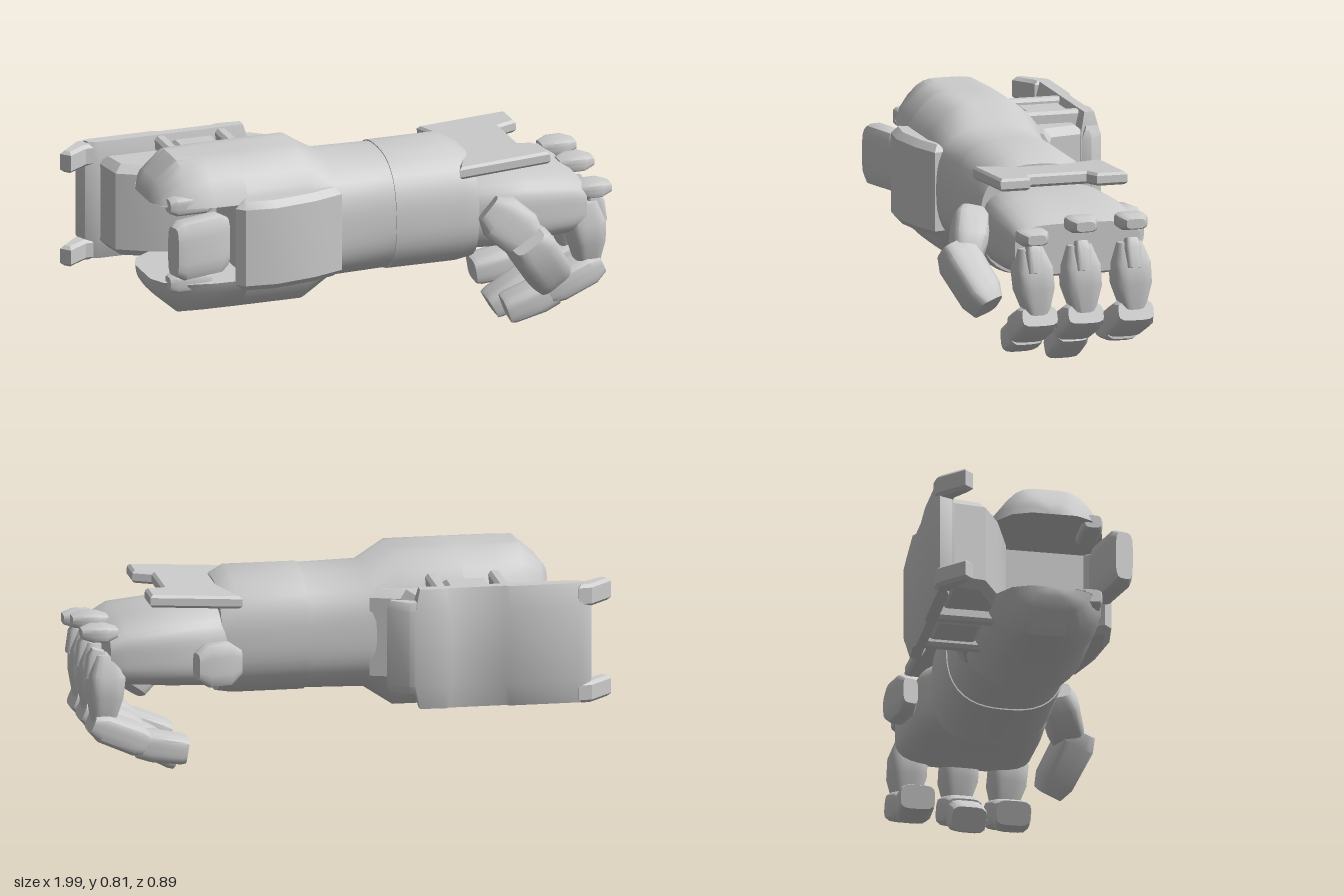
import * as THREE from 'three';
import { toCreasedNormals } from 'three/addons/utils/BufferGeometryUtils.js';

const material = new THREE.MeshStandardMaterial({ color: 0xcccccc });

function add(parent, name, geometry, crease = 0.7) {
  const mesh = new THREE.Mesh(toCreasedNormals(geometry, crease), material);
  mesh.name = name;
  parent.add(mesh);
  return mesh;
}

// Superellipse rings along x; each section is [x, yMin, yMax, zMin, zMax, exponent]
function loft(sections, sides = 32) {
  const pos = [], index = [];
  for (const [x, y0, y1, z0, z1, n = 2.6] of sections) {
    for (let j = 0; j < sides; j++) {
      const t = ((j + 0.5) / sides) * Math.PI * 2;
      const c = Math.cos(t), s = Math.sin(t);
      const r = Math.pow(Math.abs(c) ** n + Math.abs(s) ** n, -1 / n);
      pos.push(x, (y0 + y1) / 2 + (r * c * (y1 - y0)) / 2, (z0 + z1) / 2 + (r * s * (z1 - z0)) / 2);
    }
  }
  const last = (sections.length - 1) * sides;
  for (let j = 0; j < sides; j++) {
    const k = (j + 1) % sides;
    for (let i = 0; i < last; i += sides) {
      index.push(i + j, i + k, i + sides + j, i + sides + j, i + k, i + sides + k);
    }
  }
  // End caps
  for (const [base, s, flip] of [[0, sections[0], true], [last, sections.at(-1), false]]) {
    const centre = pos.length / 3;
    pos.push(s[0], (s[1] + s[2]) / 2, (s[3] + s[4]) / 2);
    for (let j = 0; j < sides; j++) {
      const k = (j + 1) % sides;
      index.push(centre, base + (flip ? k : j), base + (flip ? j : k));
    }
  }
  const g = new THREE.BufferGeometry();
  g.setAttribute('position', new THREE.Float32BufferAttribute(pos, 3));
  g.setIndex(index);
  return g;
}

// Narrow the elbow towards its flat top and bottom, fading out at the tube,
// and flatten whatever lies outside the given height range
function shapeElbow(g, yMin, yMax) {
  const p = g.attributes.position;
  for (let i = 0; i < p.count; i++) {
    const rise = THREE.MathUtils.clamp((Math.abs(p.getY(i) - 0.51) - 0.17) / 0.13, 0, 1);
    const fade = THREE.MathUtils.clamp((-0.11 - p.getX(i)) / 0.11, 0, 1);
    p.setZ(i, 0.02 + (p.getZ(i) - 0.02) * (1 - 0.32 * rise * fade));
    p.setY(i, THREE.MathUtils.clamp(p.getY(i), yMin, yMax));
  }
  return g;
}

// Chamfered segment between two points; rings are [fraction, halfThickness, halfWidth]
function limb(parent, name, from, to, rings, across = [0, 0, 1]) {
  const a = new THREE.Vector3(...from), x = new THREE.Vector3(...to).sub(a);
  const length = x.length();
  x.normalize();
  const y = new THREE.Vector3(...across).cross(x).normalize();
  const z = new THREE.Vector3().crossVectors(x, y);
  const g = loft(rings.map(([t, h, w]) => [t * length, -h, h, -w, w, 4.5]), 24);
  g.applyMatrix4(new THREE.Matrix4().makeBasis(x, y, z).setPosition(a));
  return add(parent, name, g);
}

// Plan outline of [x, z] points raised from y0 to y1, bevelled by bevel over the height rise
function slab(parent, name, outline, y0, y1, bevel = 0.012, rise = bevel) {
  const shape = new THREE.Shape(outline.map(([x, z]) => new THREE.Vector2(x, -z)));
  const g = new THREE.ExtrudeGeometry(shape, {
    depth: y1 - y0 - 2 * rise, bevelEnabled: true, bevelThickness: rise,
    bevelSize: bevel, bevelOffset: -bevel, bevelSegments: 1,
  });
  g.rotateX(-Math.PI / 2).translate(0, y0 + rise, 0);
  return add(parent, name, g, 0.6);
}

const rect = (x0, x1, z0, z1) => [[x0, z0], [x1, z0], [x1, z1], [x0, z1]];

export function createModel() {
  const model = new THREE.Group();
  model.name = 'mechanicalForearm';

  // Forearm: wide behind, slimmer tube towards the wrist
  add(model, 'forearm', shapeElbow(loft([
    [-0.47, 0.21, 0.81, -0.21, 0.25, 5], [-0.22, 0.21, 0.81, -0.21, 0.25, 5],
    [-0.11, 0.28, 0.745, -0.21, 0.245], [0.13, 0.285, 0.74, -0.205, 0.24],
  ], 48), 0.21, 0.81));
  add(model, 'wristCuff', loft([
    [0.12, 0.28, 0.745, -0.21, 0.245], [0.39, 0.28, 0.745, -0.212, 0.25],
    [0.45, 0.29, 0.71, -0.205, 0.24],
  ], 48));

  // Elbow clamshell, open between its upper and lower halves
  const elbow = [
    [-0.81, 0.32, 0.70, -0.06, 0.11], [-0.78, 0.28, 0.74, -0.13, 0.17],
    [-0.70, 0.21, 0.81, -0.185, 0.225], [-0.6, 0.21, 0.81, -0.205, 0.245], [-0.47, 0.21, 0.81, -0.21, 0.25],
  ].map((s) => [...s, 5]);
  add(model, 'upperElbowShell', shapeElbow(loft(elbow, 48), 0.66, 0.81));
  add(model, 'lowerElbowShell', shapeElbow(loft(elbow, 48), 0.21, 0.36));

  // Side panel and hinged pod on the front of the elbow
  slab(model, 'sidePanel', [[-0.53, 0.27], [-0.5, 0.3], [-0.38, 0.315], [-0.22, 0.29], [-0.1, 0.25],
    [-0.11, 0.2], [-0.48, 0.2]], 0.33, 0.68, 0.025);
  limb(model, 'elbowPod', [-0.785, 0.525, 0.295], [-0.56, 0.525, 0.235],
    [[0, 0.095, 0.035], [0.15, 0.115, 0.048], [0.85, 0.115, 0.048], [1, 0.095, 0.035]]);
  for (const y of [0.665, 0.36]) {
    limb(model, 'podHinge', [-0.765, y, 0.18], [-0.6, y, 0.18],
      [[0, 0.025, 0.03], [0.15, 0.036, 0.04], [0.85, 0.036, 0.04], [1, 0.025, 0.03]]);
  }

  // Rear guard with forked tail, brackets and mounting block
  const guard = new THREE.Group();
  guard.name = 'rearGuard';
  model.add(guard);
  slab(guard, 'guardPlate', [[-0.91, -0.43], [-0.87, -0.45], [-0.6, -0.45], [-0.58, -0.44], [-0.38, -0.44],
    [-0.36, -0.45], [-0.24, -0.44], [-0.24, -0.36], [-0.84, -0.36], [-0.89, -0.38]], 0.28, 0.74, 0.022, 0.09);
  slab(guard, 'guardFrontLip', [[-0.27, -0.44], [-0.22, -0.435], [-0.145, -0.375], [-0.155, -0.34],
    [-0.24, -0.37], [-0.27, -0.37]], 0.34, 0.69, 0.012, 0.03);
  for (const [y0, y1] of [[0.65, 0.735], [0.28, 0.36]]) {
    slab(guard, 'guardTail', [[-1, -0.35], [-0.91, -0.44], [-0.86, -0.445], [-0.86, -0.37], [-0.89, -0.37],
      [-0.97, -0.315]], y0, y1);
  }
  slab(guard, 'guardMount', [[-0.84, -0.38], [-0.25, -0.38], [-0.22, -0.24], [-0.11, -0.2], [-0.2, -0.1],
    [-0.5, -0.1], [-0.7, -0.17], [-0.82, -0.24]], 0.33, 0.69, 0.03);
  for (const x of [-0.59, -0.35]) {
    slab(guard, 'guardBracket', rect(x - 0.025, x + 0.025, -0.42, -0.15), 0.29, 0.735);
  }
  slab(guard, 'bracketBlock', rect(-0.56, -0.38, -0.38, -0.19), 0.3, 0.72, 0.02);

  // Palm
  add(model, 'palm', loft([
    [0.4, 0.33, 0.62, -0.19, 0.2, 3], [0.5, 0.33, 0.64, -0.25, 0.25, 3.2], [0.64, 0.34, 0.63, -0.265, 0.255, 3.5],
    [0.82, 0.36, 0.605, -0.27, 0.25, 4], [0.88, 0.38, 0.57, -0.255, 0.235, 4],
  ], 48));

  // Plate over the back of the hand, notched in front and tilted up slightly
  const plate = slab(model, 'handPlate', [[-0.17, -0.25], [0.18, -0.25], [0.18, -0.13], [0.11, -0.11], [0.11, 0.11],
    [0.18, 0.13], [0.18, 0.245], [-0.18, 0.245], [-0.12, 0.1], [-0.12, -0.1]], -0.024, 0.024, 0.01);
  plate.rotation.z = 0.06;
  plate.position.set(0.55, 0.685, 0);

  // Three curled fingers: [z, knuckle height, tip height, tip z]
  for (const [z, knuckleY, tipY, tipZ] of [
    [0.18, 0.535, 0.085, 0.137], [-0.01, 0.575, 0.045, -0.032], [-0.205, 0.575, 0.12, -0.227],
  ]) {
    const finger = new THREE.Group();
    finger.name = 'finger';
    model.add(finger);
    const midZ = (z + tipZ) / 2;
    limb(finger, 'knuckle', [0.85, knuckleY, z], [0.985, knuckleY, z],
      [[0, 0.018, 0.035], [0.3, 0.03, 0.057], [0.7, 0.03, 0.057], [1, 0.018, 0.035]]);
    limb(finger, 'knuckleLink', [0.92, 0.51, z], [0.95, 0.4, z],
      [[0, 0.025, 0.022], [0.3, 0.035, 0.03], [1, 0.025, 0.025]]);
    limb(finger, 'upperSegment', [0.885, 0.49, z], [0.905, 0.23, midZ],
      [[0, 0.045, 0.045], [0.3, 0.07, 0.072], [0.6, 0.066, 0.072], [1, 0.042, 0.042]]);
    limb(finger, 'middleSegment', [0.95, 0.235, midZ], [0.74, 0.145, midZ],
      [[0, 0.035, 0.068], [0.2, 0.056, 0.077], [0.8, 0.058, 0.074], [1, 0.045, 0.064]]);
    limb(finger, 'fingertip', [0.775, 0.145, midZ], [0.59, tipY - 0.005, tipZ],
      [[0, 0.05, 0.06], [0.3, 0.058, 0.067], [0.9, 0.052, 0.067], [1, 0.046, 0.064]]);
  }

  // Thumb folded across the front of the hand
  const thumb = new THREE.Group();
  thumb.name = 'thumb';
  model.add(thumb);
  limb(thumb, 'thumbBase', [0.47, 0.54, 0.28], [0.62, 0.41, 0.345],
    [[0, 0.055, 0.05], [0.25, 0.09, 0.07], [0.75, 0.09, 0.07], [1, 0.06, 0.055]]);
  limb(thumb, 'thumbTip', [0.58, 0.44, 0.39], [0.72, 0.235, 0.29],
    [[0, 0.065, 0.055], [0.2, 0.088, 0.073], [0.8, 0.084, 0.07], [1, 0.072, 0.05]]);

  // Rounded pad on the far side of the hand
  limb(model, 'handSidePad', [0.4, 0.46, -0.29], [0.57, 0.46, -0.335],
    [[0, 0.05, 0.03], [0.25, 0.082, 0.04], [0.75, 0.082, 0.04], [1, 0.05, 0.03]]);

  return model;
}
